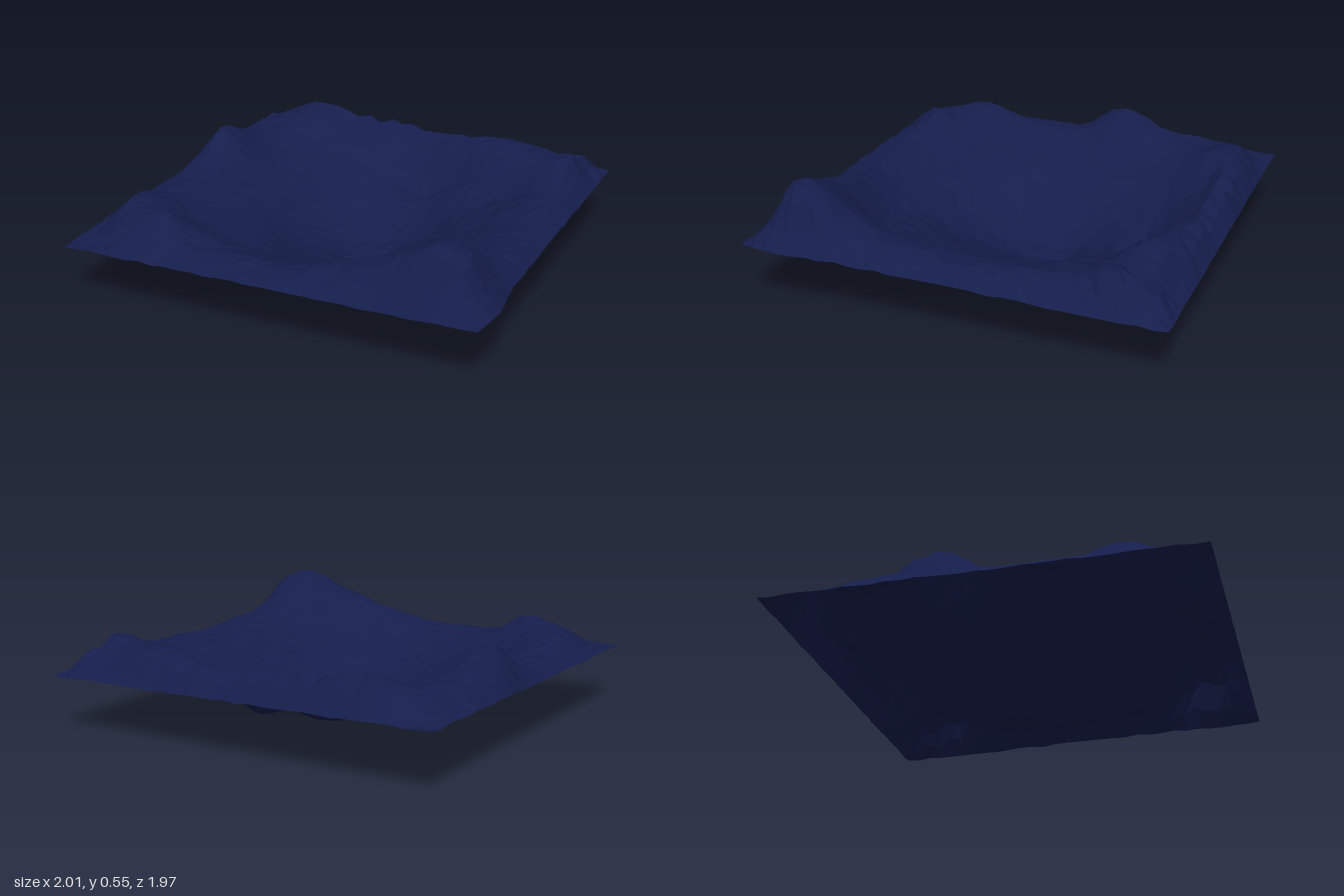
import * as THREE from 'three';

const { lerp, smoothstep, clamp } = THREE.MathUtils;

// bowl section: [relative radius, height]
const BOWL = [[0, 0.003], [0.16, 0.008], [0.3, 0.055], [0.42, 0.09], [0.58, 0.15], [0.78, 0.228], [0.95, 0.265], [1.05, 0.28]];

// ridge height above the ground in 16 directions, from +x towards +z
const RIM = [0.05, 0.07, 0.11, 0.09, 0.035, 0.035, 0.08, 0.07, 0.06, 0.09, 0.09, 0.05, 0.04, 0.1, 0.1, 0.07];

// mounds and hollows: [x, z, height, spread in x, spread in z]
const MOUNDS = [
  [0.78, 0.79, 0.15, 0.13, 0.14],
  [0.52, 0.82, 0.05, 0.12, 0.1],
  [-0.86, -0.2, 0.12, 0.1, 0.12],
  [-0.6, 0.77, 0.08, 0.1, 0.08],
  [-0.84, 0.6, 0.05, 0.09, 0.11],
  [0.5, -0.76, 0.05, 0.13, 0.1],
  [0.85, -0.7, 0.07, 0.08, 0.08],
  [0.88, -0.92, 0.1, 0.06, 0.05],
  [-0.6, -0.83, 0.07, 0.12, 0.1],
  [-0.2, -0.91, 0.1, 0.3, 0.055],
  [0.1, -0.61, -0.09, 0.15, 0.06],
  [0.58, -0.42, -0.03, 0.09, 0.09],
];

function bowlHeight(x, z) {
  const dx = (x - 0.03) / (x > 0.03 ? 0.61 : 0.68);
  const dz = (z + 0.08) / (z > -0.08 ? 0.86 : 0.73);
  const u = Math.hypot(dx, dz);
  for (let i = 1; i < BOWL.length; i++) {
    const [u0, y0] = BOWL[i - 1], [u1, y1] = BOWL[i];
    if (u < u1) return lerp(y0, y1, (u - u0) / (u1 - u0));
  }
  return borderHeight(x, z);
}

// the outer ground tilts slightly from corner to corner
function borderHeight(x, z) {
  return 0.28 + 0.008 * z + 0.011 * x * z;
}

function rimHeight(x, z) {
  const a = ((Math.atan2(z, x) / (2 * Math.PI) + 1) % 1) * 16;
  const i = Math.floor(a);
  const h = lerp(RIM[i % 16], RIM[(i + 1) % 16], smoothstep(a - i, 0, 1));
  const s = Math.pow(x ** 4 + z ** 4, 1 / 4);
  return h * smoothstep(s, 0.58, 0.82) * (1 - smoothstep(s, 0.92, 1.12));
}

function groundHeight(x, z) {
  let y = rimHeight(x, z);
  for (const [mx, mz, h, rx, rz] of MOUNDS) {
    y += h * Math.exp(-(((x - mx) / rx) ** 2 + ((z - mz) / rz) ** 2) / 2);
  }
  // raised parts fade out to the border of the sheet
  const border = 1 - Math.max(Math.abs(x), Math.abs(z));
  return bowlHeight(x, z) + y * clamp(border / 0.1, 0, 1);
}

// seeded random number in -1..1
function makeRandom(seed) {
  return () => {
    seed = (seed * 16807) % 2147483647;
    return (seed / 2147483647) * 2 - 1;
  };
}

export function createModel() {
  const group = new THREE.Group();
  group.name = 'craterTerrain';

  const rand = makeRandom(71);
  const geo = new THREE.PlaneGeometry(2, 2, 30, 30).rotateX(-Math.PI / 2);
  const pos = geo.attributes.position;
  for (let i = 0; i < pos.count; i++) {
    let x = pos.getX(i), z = pos.getZ(i);
    const inside = Math.max(Math.abs(x), Math.abs(z)) < 0.99;
    // irregular facets inside, straight border outside
    const jx = rand() * 0.016, jz = rand() * 0.016, jy = rand() * 0.005;
    if (inside) { x += jx; z += jz; }
    const y = (inside ? groundHeight(x, z) : borderHeight(x, z)) + jy;
    // right border bulges out slightly beside the high mound
    const bulge = 0.03 * Math.exp(-(((z - 0.8) / 0.15) ** 2)) - 0.025;
    pos.setXYZ(i, x + bulge * smoothstep(x, 0.8, 1), Math.max(y, 0), z * 0.985);
  }

  // thin faceted sheet, seen from both sides
  const ground = new THREE.Mesh(
    geo.toNonIndexed(),
    new THREE.MeshStandardMaterial({ color: 0x151d4b, flatShading: true, side: THREE.DoubleSide })
  );
  ground.geometry.computeVertexNormals();
  ground.name = 'craterGround';
  group.add(ground);
  return group;
}
